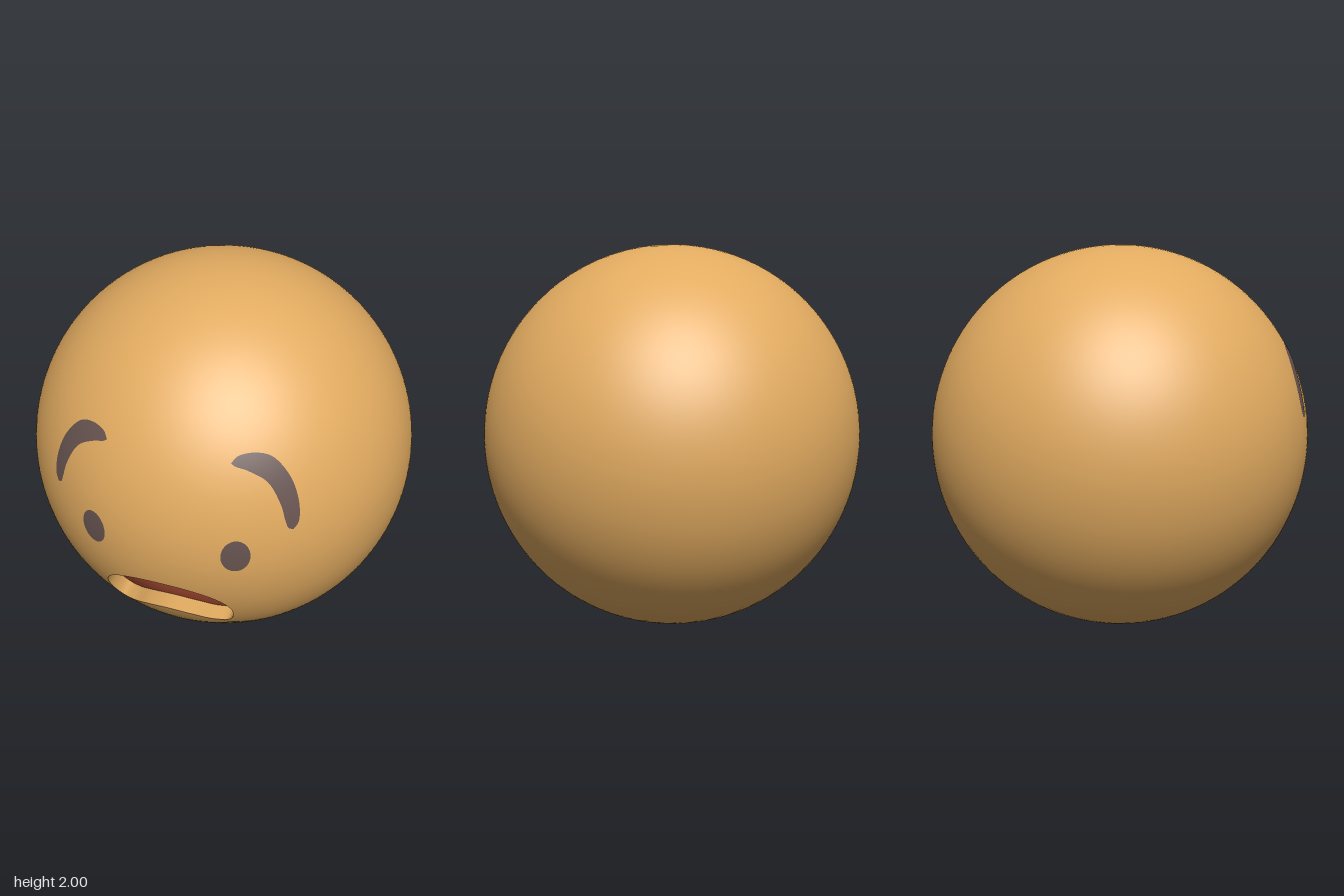
import * as THREE from 'three';

const RX = 0.99, RY = 1, CY = 1; // slightly tall ball, centred at y = 1

// Front surface point of the ball above (x, y), optionally lifted off the skin
function onBall(x, y, lift = 0) {
  const b = (y - CY) / RY;
  const z = RX * Math.sqrt(Math.max(0, 1 - b * b - (x / RX) ** 2));
  return new THREE.Vector3(x, y - CY, z).multiplyScalar(1 + lift).add(new THREE.Vector3(0, CY, 0));
}

// Grid surface from a rule (u, v) -> point; ballNormals gives exact smooth shading
function surface(name, rule, nu, nv, color, ballNormals = true) {
  const pos = [], nor = [], index = [];
  for (let j = 0; j <= nv; j++) {
    for (let i = 0; i <= nu; i++) {
      const p = rule(i / nu, j / nv);
      pos.push(p.x, p.y, p.z);
      const n = new THREE.Vector3(p.x / RX ** 2, (p.y - CY) / RY ** 2, p.z / RX ** 2).normalize();
      nor.push(n.x, n.y, n.z);
      if (i < nu && j < nv) {
        const a = j * (nu + 1) + i, d = a + nu + 1;
        index.push(a, a + 1, d, a + 1, d + 1, d);
      }
    }
  }
  const geo = new THREE.BufferGeometry();
  geo.setAttribute('position', new THREE.Float32BufferAttribute(pos, 3));
  geo.setIndex(index);
  if (ballNormals) geo.setAttribute('normal', new THREE.Float32BufferAttribute(nor, 3));
  else geo.computeVertexNormals();
  const mesh = new THREE.Mesh(geo, new THREE.MeshStandardMaterial({ color, side: THREE.DoubleSide }));
  mesh.name = name;
  return mesh;
}

const curve = (pts, closed = false) =>
  new THREE.CatmullRomCurve3(pts.map(([x, y]) => new THREE.Vector3(x, y, 0)), closed);

export function createModel() {
  const group = new THREE.Group();
  group.name = 'worriedFaceBall';
  const SKIN = 0xe2ab60, DARK = 0x675450, RED = 0xc4573b;

  // Mouth outline, clockwise seen from the front
  const N = 200;
  const mouth = curve([
    [-0.345, 0.56], [-0.325, 0.65], [-0.257, 0.72], [-0.14, 0.767], [-0.014, 0.781],
    [0.115, 0.765], [0.235, 0.71], [0.298, 0.635], [0.314, 0.56], [0.295, 0.475],
    [0.268, 0.449], [0.205, 0.46], [0.105, 0.51], [-0.014, 0.535], [-0.13, 0.51],
    [-0.232, 0.46], [-0.297, 0.447], [-0.325, 0.48],
  ], true).getSpacedPoints(N);
  const rim = (u) => mouth[Math.round(u * N) % N];
  const MX = -0.015, MY = 0.635, DEPTH = 0.1;

  // Ball: great-circle sweep from the mouth rim to the point opposite the mouth
  const unit = (p) => new THREE.Vector3(p.x / RX, (p.y - CY) / RY, p.z / RX).normalize();
  const far = unit(onBall(MX, MY)).negate();
  group.add(surface('ball', (u, v) => {
    const r = rim(u), a = unit(onBall(r.x, r.y));
    const angle = a.angleTo(far), s = Math.sin(angle);
    const d = a.multiplyScalar(Math.sin((1 - v) * angle) / s)
      .addScaledVector(far, Math.sin(v * angle) / s);
    return new THREE.Vector3(d.x * RX, CY + d.y * RY, d.z * RX);
  }, N, 72, SKIN));

  // Recessed mouth: side wall and red floor
  group.add(surface('mouthWall', (u, v) => {
    const r = rim(u), p = onBall(r.x, r.y);
    p.z -= DEPTH * (1 - v);
    return p;
  }, N, 1, SKIN, false));
  group.add(surface('mouthFloor', (u, v) => {
    const r = rim(u);
    const p = onBall(MX + (r.x - MX) * v, MY + (r.y - MY) * v);
    p.z -= DEPTH;
    return p;
  }, N, 10, RED));

  // Brow edges of the model's left side, from inner tip to outer end
  const upper = curve([[0.297, 1.47], [0.32, 1.496], [0.38, 1.507], [0.46, 1.485], [0.55, 1.385],
    [0.598, 1.26], [0.604, 1.165], [0.587, 1.135]]);
  const lower = curve([[0.297, 1.47], [0.315, 1.457], [0.37, 1.437], [0.46, 1.38], [0.525, 1.27],
    [0.553, 1.18], [0.567, 1.145], [0.587, 1.135]]);

  for (const [side, s] of [['left', 1], ['right', -1]]) {
    // Eye: oval patch on the skin
    group.add(surface(side + 'Eye', (u, v) => {
      const a = -u * Math.PI * 2;
      return onBall(s * 0.352 + 0.065 * v * Math.cos(a), 1.017 + 0.09 * v * Math.sin(a), 0.002);
    }, 48, 6, DARK));
    // Brow: strip between its two edges
    group.add(surface(side + 'Brow', (u, v) => {
      const t = s > 0 ? u : 1 - u;
      const p = lower.getPoint(t).lerp(upper.getPoint(t), v);
      return onBall(s * p.x, p.y, 0.002);
    }, 56, 6, DARK));
  }
  return group;
}
